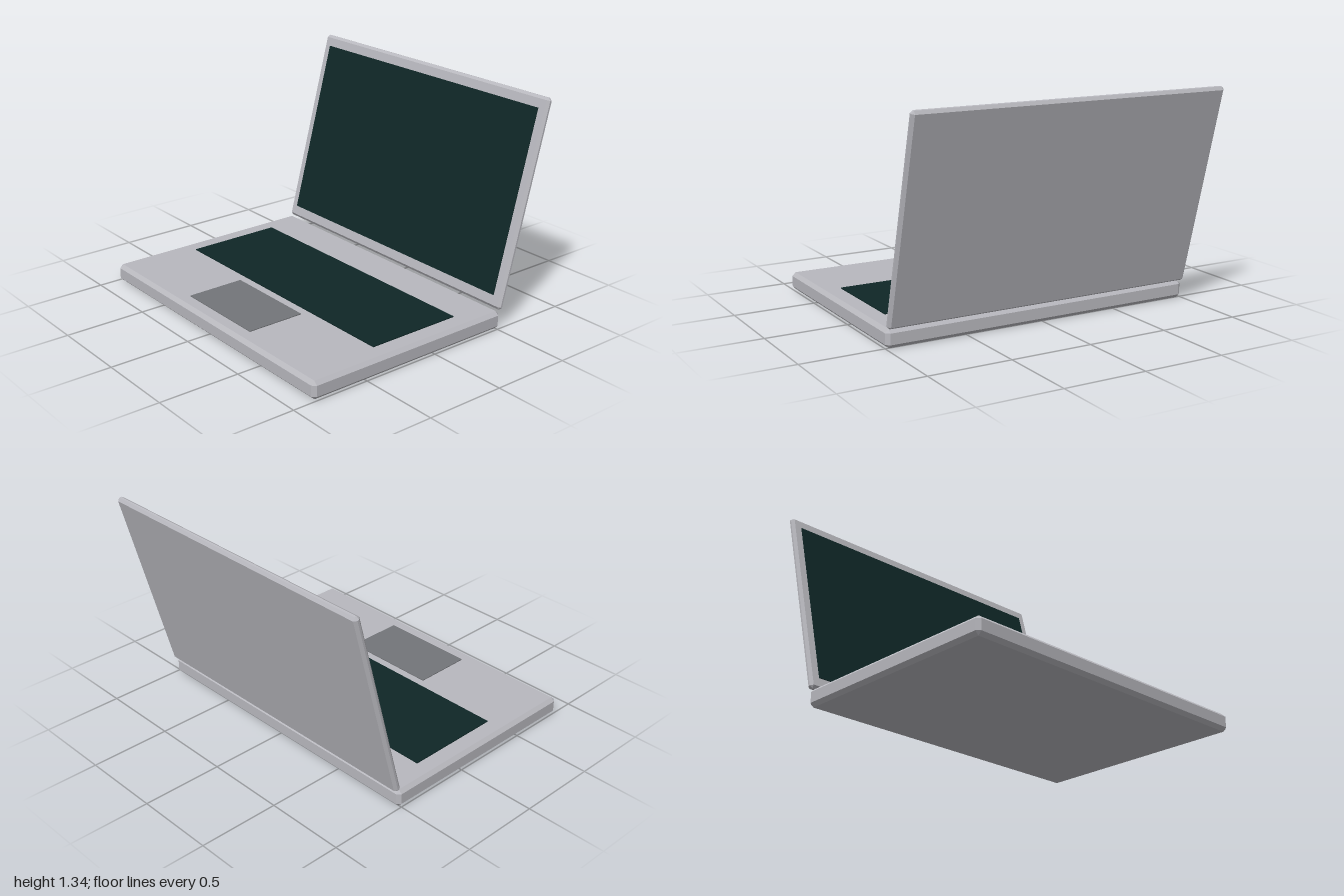
import * as THREE from 'three';
import { ConvexGeometry } from 'three/addons/geometries/ConvexGeometry.js';

const material = (name, color) => {
  const m = new THREE.MeshStandardMaterial({ color });
  m.name = name;
  return m;
};

// Box whose edges and corners are all cut by one flat chamfer
function chamferedBox(w, h, d, c) {
  const [x, y, z] = [w / 2, h / 2, d / 2];
  const points = [];
  for (const sx of [-1, 1]) for (const sy of [-1, 1]) for (const sz of [-1, 1]) {
    points.push(
      new THREE.Vector3(sx * x, sy * (y - c), sz * (z - c)),
      new THREE.Vector3(sx * (x - c), sy * y, sz * (z - c)),
      new THREE.Vector3(sx * (x - c), sy * (y - c), sz * z)
    );
  }
  return new ConvexGeometry(points);
}

function addPart(parent, name, geometry, mat, x, y, z) {
  const mesh = new THREE.Mesh(geometry, mat);
  mesh.name = name;
  mesh.position.set(x, y, z);
  parent.add(mesh);
  return mesh;
}

export function createModel() {
  const silver = material('silver', 0xb8b8be);
  const dark = material('darkGlass', 0x0f2727);
  const grey = material('padGrey', 0x737579);

  const model = new THREE.Group();
  model.name = 'laptop';

  // Base with keyboard and touchpad plates on its top
  const baseTop = 0.11;
  addPart(model, 'base', chamferedBox(2, baseTop, 1.39, 0.022), silver, 0, baseTop / 2, 0.172);
  addPart(model, 'keyboard', new THREE.BoxGeometry(1.765, 0.008, 0.61), dark, 0, baseTop + 0.002, 0.052);
  addPart(model, 'touchpad', new THREE.BoxGeometry(0.61, 0.008, 0.365), grey, 0, baseTop + 0.001, 0.595);

  // Lid leaning back, with the display on its front
  const lid = new THREE.Group();
  lid.name = 'lid';
  lid.position.set(0, 0.728, -0.685);
  lid.rotation.x = -THREE.MathUtils.degToRad(15);
  model.add(lid);
  addPart(lid, 'lidShell', chamferedBox(2, 1.267, 0.044, 0.016), silver, 0, 0, 0);
  addPart(lid, 'screen', new THREE.BoxGeometry(1.88, 1.123, 0.008), dark, 0, 0.002, 0.022);

  return model;
}
